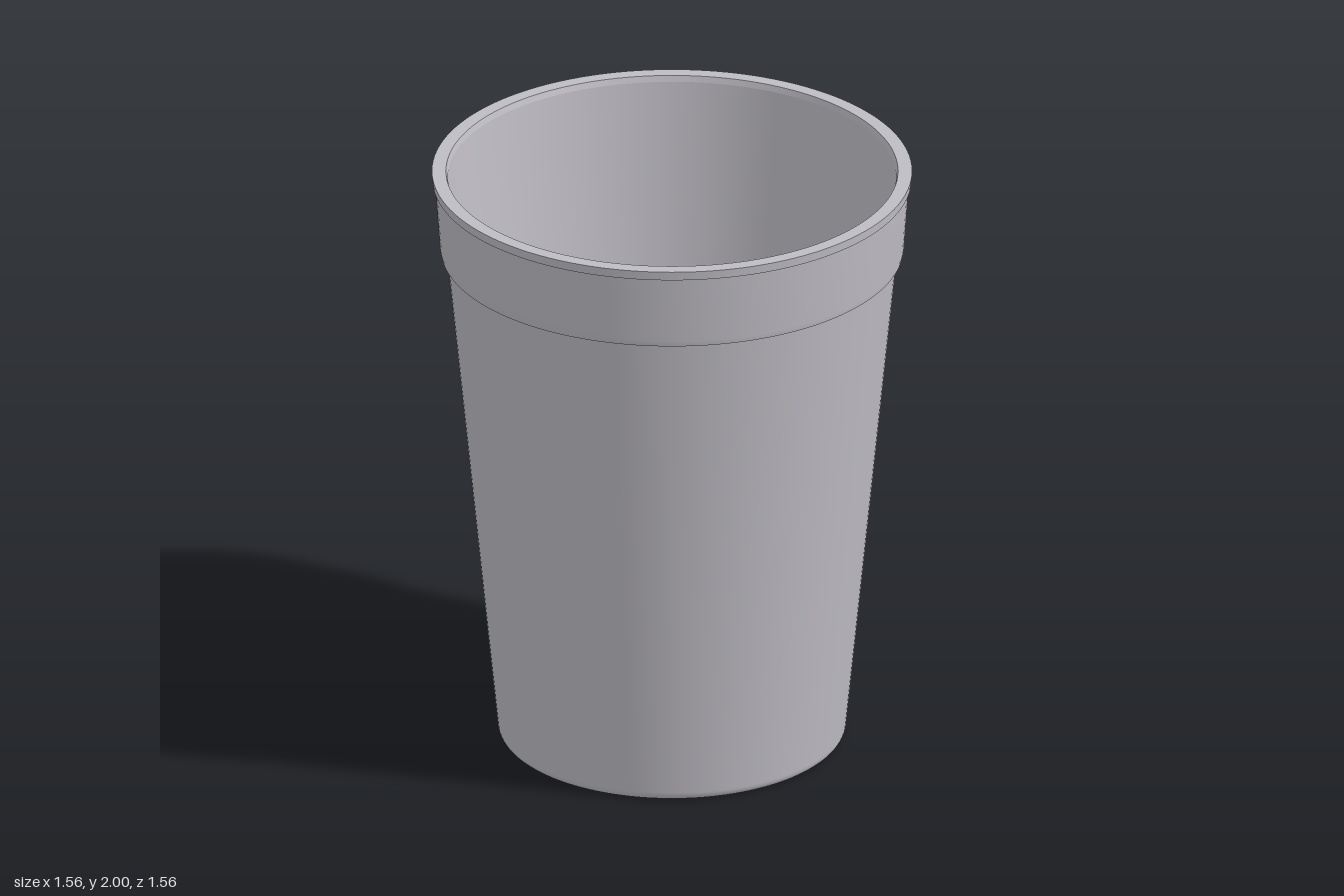
import * as THREE from 'three';

const plastic = new THREE.MeshStandardMaterial({ color: 0xbfbdc4 });
plastic.name = 'grey plastic';

// Points of a rounded corner from a to b, bent towards the control point c
const fillet = (a, c, b, n = 8) =>
  new THREE.QuadraticBezierCurve(new THREE.Vector2(...a), new THREE.Vector2(...c), new THREE.Vector2(...b))
    .getPoints(n).map((p) => [p.x, p.y]);

export function createModel() {
  const cup = new THREE.Group();
  cup.name = 'cup';

  // Each section is a smooth lathe; the joints between sections stay sharp
  const section = (name, points) => {
    const profile = points.map(([r, y]) => new THREE.Vector2(r, y));
    const mesh = new THREE.Mesh(new THREE.LatheGeometry(profile, 128), plastic);
    mesh.name = name;
    cup.add(mesh);
  };

  // Underside with its shallow recess
  section('recessFloor', [[0, 0.03], [0.24, 0.03]]);
  section('recessBevel', [[0.24, 0.03], [0.3, 0]]);
  section('baseRing', [[0.3, 0], [0.54, 0]]);

  // Outer wall, rising from a small rounded foot
  section('outerWall', [...fillet([0.54, 0], [0.565, 0], [0.568, 0.03]), [0.6, 0.35], [0.735, 1.72]]);

  // Stepped band below the mouth
  section('bandLedge', [[0.735, 1.72], [0.753, 1.72]]);
  section('band', [[0.753, 1.72], [0.757, 1.74], [0.773, 1.97]]);

  // Rolled lip
  section('lipLedge', [[0.773, 1.97], [0.78, 1.97]]);
  section('lipEdge', [[0.78, 1.97], [0.782, 2]]);
  section('rim', [[0.782, 2], [0.736, 2]]);
  section('rimChamfer', [[0.736, 2], [0.73, 1.98]]);

  // Inner wall sweeping into the floor
  section('innerWall', [
    [0.73, 1.98], [0.7, 1.68], [0.6, 0.66],
    ...fillet([0.558, 0.235], [0.537, 0.03], [0.34, 0.03], 14), [0.295, 0.03],
  ]);

  // Raised disc in the middle of the floor
  section('discBevel', [[0.295, 0.03], [0.24, 0.06]]);
  section('discTop', [[0.24, 0.06], [0, 0.06]]);

  return cup;
}
